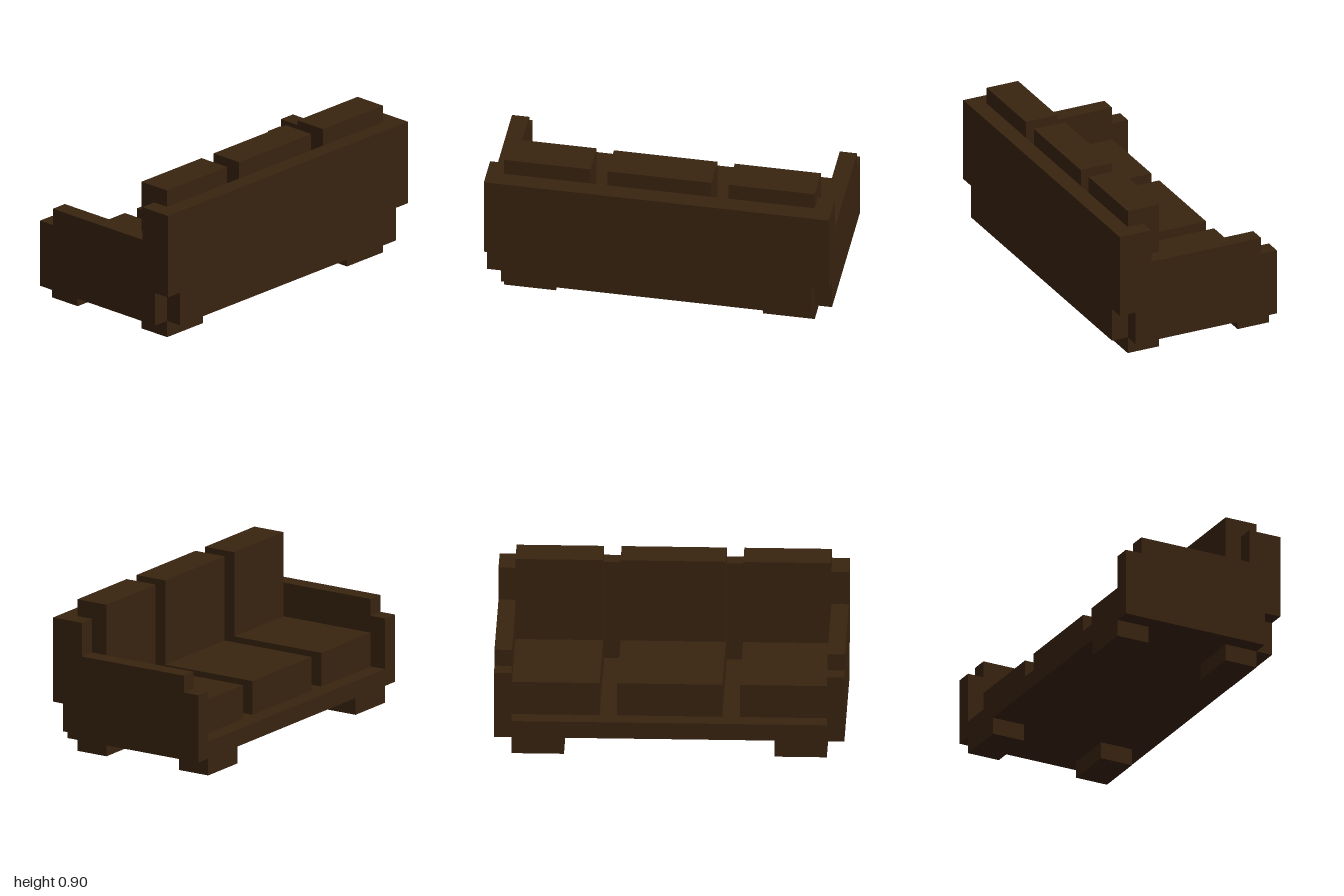
import * as THREE from 'three';

export function createModel() {
  const sofa = new THREE.Group();
  sofa.name = 'sofa';
  const brown = new THREE.MeshStandardMaterial({ color: 0x38230f });
  brown.name = 'dark brown';

  // Box given by its min and max along each axis
  function box(name, [x0, x1], [y0, y1], [z0, z1]) {
    const mesh = new THREE.Mesh(new THREE.BoxGeometry(x1 - x0, y1 - y0, z1 - z0), brown);
    mesh.position.set((x0 + x1) / 2, (y0 + y1) / 2, (z0 + z1) / 2);
    mesh.name = name;
    sofa.add(mesh);
  }

  // Frame: the seat faces -x
  box('seatBase', [-0.5, 0.4], [0.1, 0.2], [-0.9, 0.9]);
  box('backrest', [0.4, 0.5], [0.1, 0.8], [-0.9, 0.9]);

  // Stepped armrests with a raised back post and a notch at the lower back corner
  const armProfile = new THREE.Shape([
    [-0.5, 0.1], [0.4, 0.1], [0.4, 0.3], [0.5, 0.3], [0.5, 0.8],
    [0.3, 0.8], [0.3, 0.6], [-0.4, 0.6], [-0.4, 0.5], [-0.5, 0.5],
  ].map(([x, y]) => new THREE.Vector2(x, y)));
  const armGeometry = new THREE.ExtrudeGeometry(armProfile, { depth: 0.1, bevelEnabled: false });
  for (const [name, z] of [['leftArmrest', 0.9], ['rightArmrest', -1]]) {
    const arm = new THREE.Mesh(armGeometry, brown);
    arm.position.z = z;
    arm.name = name;
    sofa.add(arm);
  }

  // Three seat cushions and three back cushions
  for (const span of [[-0.9, -0.4], [-0.3, 0.3], [0.4, 0.9]]) {
    box('seatCushion', [-0.4, 0.2], [0.2, 0.4], span);
    box('backCushion', [0.2, 0.4], [0.2, 0.9], span);
  }

  // Four block legs
  for (const xs of [[-0.5, -0.3], [0.2, 0.4]]) {
    for (const zs of [[-0.9, -0.6], [0.6, 0.9]]) box('leg', xs, [0, 0.1], zs);
  }

  return sofa;
}
